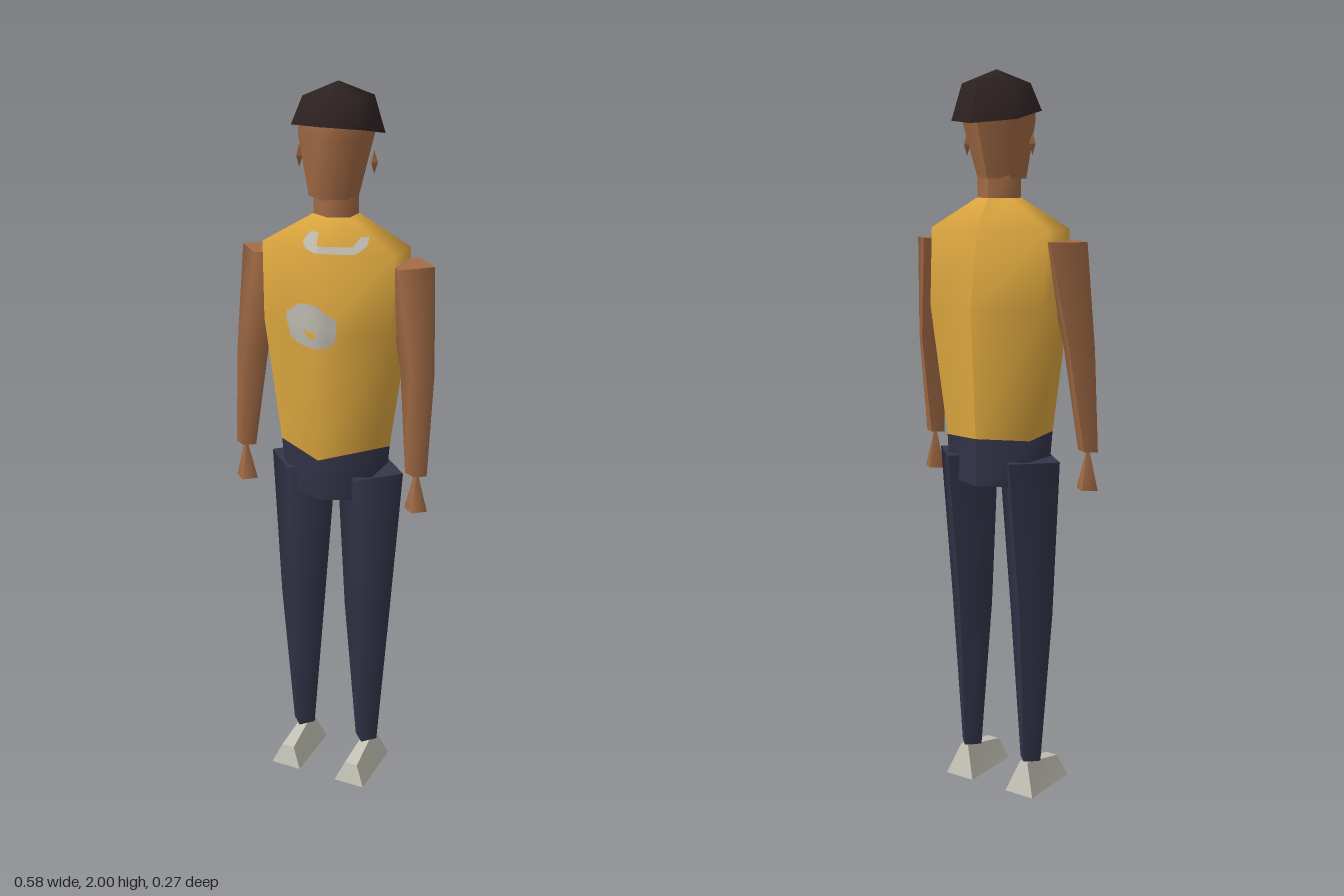
import * as THREE from 'three';

const mat = (name, color) => {
  const m = new THREE.MeshStandardMaterial({ color });
  m.name = name;
  return m;
};

// Ring: height y (number or one per corner), centre cx, half width rx, front zf, back zb
const ring = (y, rx, zf, zb, cx = 0) => ({ y, rx, zf, zb, cx });

// Corner i of an n-sided ring, starting at the back and running round by +x
function corner(r, i, n) {
  const a = (i / n) * Math.PI * 2;
  const widest = n === 6 ? Math.sin(Math.PI / 3) : 1;
  return [
    r.cx + (r.rx * Math.sin(a)) / widest,
    Array.isArray(r.y) ? r.y[i % n] : r.y,
    (r.zf + r.zb) / 2 - ((r.zf - r.zb) / 2) * Math.cos(a),
  ];
}

// Skin over rings listed bottom to top, smooth but for a seam at the back, with flat caps
function loft(rings, n) {
  const pos = [], index = [];
  for (const r of rings) for (let i = 0; i <= n; i++) pos.push(...corner(r, i, n));
  for (let j = 0; j < rings.length - 1; j++) {
    for (let i = 0; i < n; i++) {
      const a = j * (n + 1) + i, b = a + n + 1;
      index.push(a, b, a + 1, a + 1, b, b + 1);
    }
  }
  for (const top of [false, true]) {
    const r = rings[top ? rings.length - 1 : 0], start = pos.length / 3;
    for (let i = 0; i < n; i++) pos.push(...corner(r, i, n));
    for (let i = 1; i < n - 1; i++) {
      if (top) index.push(start, start + i + 1, start + i);
      else index.push(start, start + i, start + i + 1);
    }
  }
  const g = new THREE.BufferGeometry();
  g.setAttribute('position', new THREE.Float32BufferAttribute(pos, 3));
  g.setIndex(index);
  g.computeVertexNormals();
  return g;
}

const hemHeights = [1.03, 1.02, 1.055, 1.02, 1.04, 1.03];
const hem = ring(hemHeights, 0.137, 0.115, -0.115);
const shirtRings = [
  hem,
  ring(1.38, 0.183, 0.125, -0.135),
  ring(1.59, 0.188, 0.105, -0.107),
  ring(1.67, 0.055, 0.05, -0.055),
];

// Depth of the shirt front at (x, y)
function shirtFront(x, y) {
  const rs = [{ ...hem, y: 1.03 }, ...shirtRings.slice(1)];
  let k = 0;
  while (k < rs.length - 2 && y > rs[k + 1].y) k++;
  const t = (y - rs[k].y) / (rs[k + 1].y - rs[k].y);
  const mix = (key) => THREE.MathUtils.lerp(rs[k][key], rs[k + 1][key], t);
  const side = mix('zf') * 0.75 + mix('zb') * 0.25;
  return THREE.MathUtils.lerp(mix('zf'), side, Math.abs(x) / mix('rx'));
}

// Thin print following the shirt front; columns are [x, low y, high y]
function print(columns, lift) {
  const rows = 4, pos = [], index = [];
  columns.forEach(([x, lo, hi], c) => {
    for (let r = 0; r <= rows; r++) {
      const y = lo + ((hi - lo) * r) / rows;
      pos.push(x, y, shirtFront(x, y) + lift);
    }
    if (c === 0) return;
    for (let r = 0; r < rows; r++) {
      const b = c * (rows + 1) + r, a = b - rows - 1;
      index.push(a, b, a + 1, b, b + 1, a + 1);
    }
  });
  const g = new THREE.BufferGeometry();
  g.setAttribute('position', new THREE.Float32BufferAttribute(pos, 3));
  g.setIndex(index);
  g.computeVertexNormals();
  return g;
}

// Wedge shoe: a box whose top is pinched and slopes down to the toe
function shoeGeometry() {
  const g = new THREE.BoxGeometry(1, 1, 1), p = g.attributes.position;
  for (let i = 0; i < p.count; i++) {
    const top = p.getY(i) > 0, toe = p.getZ(i) > 0;
    const x = Math.sign(p.getX(i)) * (top ? (toe ? 0.019 : 0.012) : 0.046);
    if (top) p.setXYZ(i, x, toe ? 0.06 : 0.09, toe ? 0.118 : -0.03);
    else p.setXYZ(i, x, 0, toe ? 0.134 : -0.056);
  }
  g.computeVertexNormals();
  return g;
}

export function createModel() {
  const model = new THREE.Group();
  model.name = 'standingMan';

  const skin = mat('skin', 0xa46c46);
  const yellow = mat('yellowShirt', 0xdda73f);
  const navy = mat('navyTrousers', 0x35344a);
  const dark = mat('darkCap', 0x2d2121);
  const white = mat('paleShoe', 0xc6c4b8);
  const grey = mat('greyPrint', 0xb8b5ab);

  const add = (name, geometry, material, parent = model) => {
    const m = new THREE.Mesh(geometry, material);
    m.name = name;
    parent.add(m);
    return m;
  };

  // Torso
  add('shirt', loft(shirtRings, 6), yellow);
  add('trouserHips', loft([ring(0.9, 0.127, 0.11, -0.117), hem], 6), navy);

  // Shirt prints
  add('collarPrint', print([
    [-0.055, 1.605, 1.615], [-0.04, 1.595, 1.635], [-0.015, 1.59, 1.635],
    [-0.01, 1.59, 1.607], [0, 1.59, 1.605], [0.08, 1.59, 1.607],
    [0.095, 1.592, 1.63], [0.115, 1.61, 1.63],
  ], 0.004), grey);
  add('chestPrint', print([
    [-0.1, 1.4, 1.425], [-0.085, 1.355, 1.43], [-0.06, 1.345, 1.45], [-0.035, 1.34, 1.455],
    [0, 1.34, 1.455], [0.03, 1.345, 1.43], [0.045, 1.355, 1.425], [0.053, 1.385, 1.41],
  ], 0.004), grey);
  add('chestPrintCentre', print([
    [-0.035, 1.378, 1.39], [-0.018, 1.367, 1.38], [0, 1.367, 1.392],
  ], 0.007), yellow);

  // Head and neck
  add('neck', loft([ring(1.64, 0.052, 0.05, -0.055), ring(1.73, 0.052, 0.05, -0.055)], 6), skin);
  add('head', loft([
    ring(1.72, 0.055, 0.08, -0.058),
    ring(1.87, 0.083, 0.097, -0.105),
    ring(1.92, 0.085, 0.09, -0.11),
  ], 6), skin);

  // Cap, lower at the back
  add('cap', loft([
    ring([1.86, 1.87, 1.895, 1.905, 1.895, 1.87], 0.104, 0.104, -0.134),
    ring(1.965, 0.079, 0.073, -0.105),
    ring(2.0, 0.002, -0.013, -0.017),
  ], 6), dark);

  const shoe = shoeGeometry();
  for (const [side, s] of [['left', 1], ['right', -1]]) {
    // Ear
    const ear = add(side + 'Ear', new THREE.OctahedronGeometry(1), skin);
    ear.scale.set(0.01, 0.03, 0.015);
    ear.position.set(s * 0.105, 1.81, -0.002);

    // Arm and hand
    const arm = new THREE.Group();
    arm.name = side + 'Arm';
    model.add(arm);
    add(side + 'Sleeve', loft([
      ring(1.0, 0.031, 0.066, 0.026, s * 0.257),
      ring(1.28, 0.048, 0.068, -0.032, s * 0.243),
      ring(1.56, 0.072, 0.066, -0.07, s * 0.204),
    ], 4), skin, arm);
    add(side + 'Hand', loft([
      ring(0.895, 0.033, 0.072, 0.014, s * 0.258),
      ring(1.005, 0.004, 0.05, 0.04, s * 0.258),
    ], 4), skin, arm);

    // Leg and shoe
    const leg = new THREE.Group();
    leg.name = side + 'Leg';
    model.add(leg);
    add(side + 'TrouserLeg', loft([
      ring(0.088, 0.034, 0.042, -0.03, s * 0.103),
      ring(0.53, 0.07, 0.068, -0.052, s * 0.102),
      ring(0.97, 0.099, 0.095, -0.105, s * 0.101),
    ], 4), navy, leg);
    add(side + 'Shoe', shoe, white, leg).position.x = s * 0.104;
  }
  return model;
}
